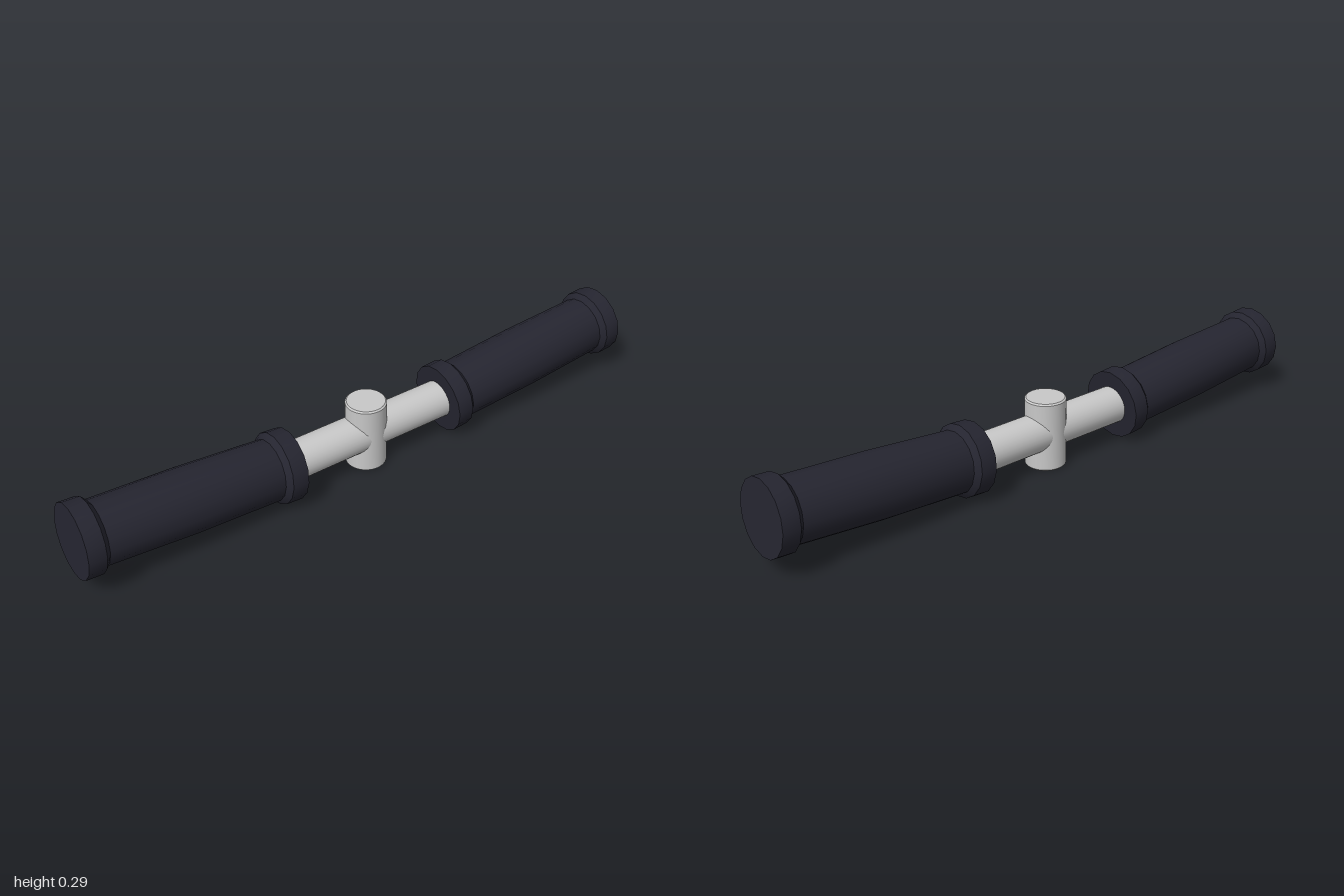
import * as THREE from 'three';
import { toCreasedNormals } from 'three/addons/utils/BufferGeometryUtils.js';

// Solid of revolution about y from [radius, height] pairs, bottom to top
function turned(profile, sides) {
  const points = profile.map(([r, y]) => new THREE.Vector2(r, y));
  return toCreasedNormals(new THREE.LatheGeometry(points, sides), 0.5);
}

export function createModel() {
  const model = new THREE.Group();
  model.name = 'handlebar';

  const metal = new THREE.MeshStandardMaterial({ color: 0xc8c8c8 });
  metal.name = 'light grey metal';
  const rubber = new THREE.MeshStandardMaterial({ color: 0x252530 });
  rubber.name = 'dark rubber';

  function add(name, geometry, material, parent = model) {
    const mesh = new THREE.Mesh(geometry, material);
    mesh.name = name;
    parent.add(mesh);
    return mesh;
  }

  const axisY = 0.118;

  // Upright stem with slightly bevelled rims
  add('stem', turned([
    [0, 0.002], [0.061, 0.002], [0.066, 0.007],
    [0.066, 0.227], [0.061, 0.232], [0, 0.232],
  ], 32), metal);

  // Straight crossbar running into both grips
  const bar = new THREE.CylinderGeometry(0.062, 0.062, 0.66, 32);
  bar.rotateZ(Math.PI / 2);
  add('crossbar', bar, metal).position.y = axisY;

  // Grips: collars at both ends, a gentle swell between, tilted up outward
  const length = 0.703;
  const grip = turned([
    [0, 0], [0.115, 0], [0.115, 0.054], [0.098, 0.07],
    [0.102, length / 2],
    [0.098, length - 0.07], [0.115, length - 0.054], [0.115, length], [0, length],
  ], 16);
  grip.rotateZ(-Math.PI / 2);
  for (const [name, turn] of [['leftGrip', 0], ['rightGrip', Math.PI]]) {
    const side = new THREE.Group();
    side.name = name + 'Side';
    side.rotation.y = turn;
    const mesh = add(name, grip, rubber, side);
    mesh.position.set(0.289, axisY, 0);
    mesh.rotation.z = 0.0785;
    model.add(side);
  }

  return model;
}
